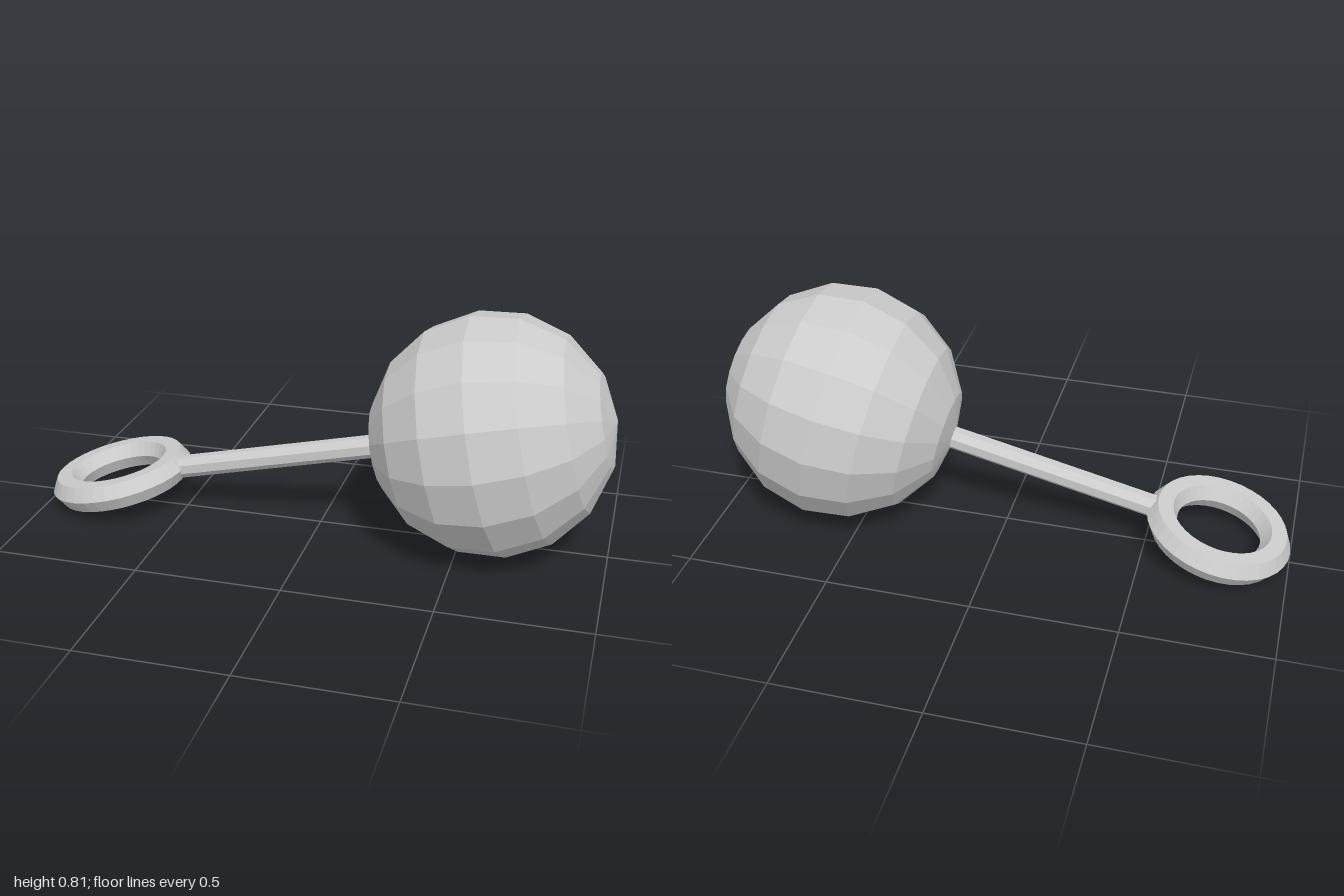
import * as THREE from 'three';

export function createModel() {
  const model = new THREE.Group();
  const material = new THREE.MeshStandardMaterial({ color: 0xcccccc, flatShading: true });

  // Everything lies along one tilted axis, with the ball's centre as origin
  const rattle = new THREE.Group();
  rattle.name = 'rattle';
  rattle.position.set(0.59, 0.408, 0);
  rattle.rotation.z = THREE.MathUtils.degToRad(13);
  model.add(rattle);

  function addPart(name, geometry, x) {
    const mesh = new THREE.Mesh(geometry, material);
    mesh.name = name;
    mesh.position.x = x;
    rattle.add(mesh);
  }

  // Faceted ball with its poles on the handle axis
  addPart('ball', new THREE.SphereGeometry(0.413, 16, 8).rotateZ(-Math.PI / 2), 0);

  // Eight-sided handle, sunk into the ball and the ring
  const start = -1.155, end = -0.38;
  const rod = new THREE.CylinderGeometry(0.04, 0.04, end - start, 8)
    .rotateY(Math.PI / 8)
    .rotateZ(-Math.PI / 2);
  addPart('handle', rod, (start + end) / 2);

  // Grip ring with a six-sided cross-section
  addPart('gripRing', new THREE.TorusGeometry(0.202, 0.054, 6, 36).rotateX(Math.PI / 2), -1.376);

  return model;
}
